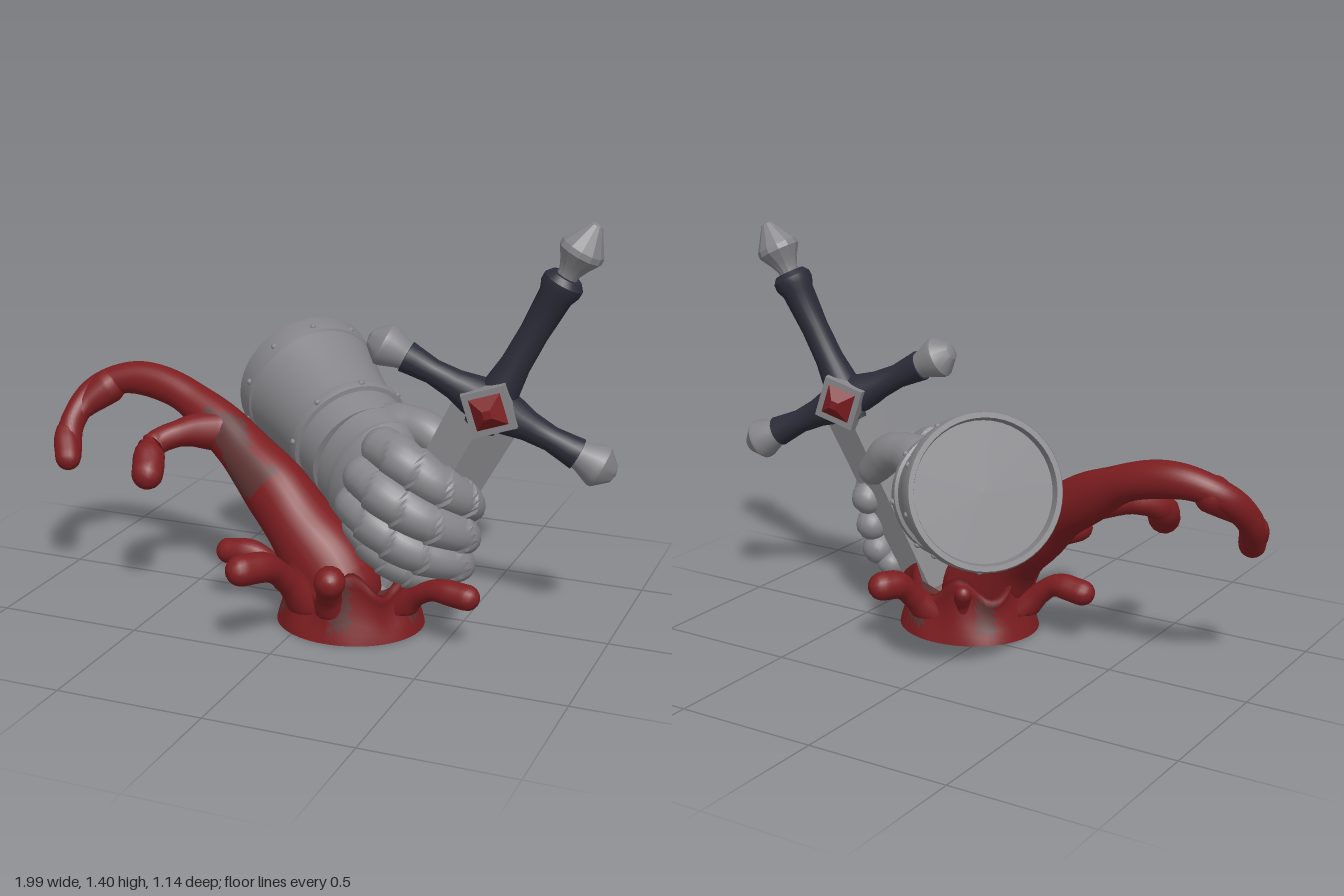
import * as THREE from 'three';
import { toCreasedNormals } from 'three/addons/utils/BufferGeometryUtils.js';

const mat = (name, color) => {
  const m = new THREE.MeshStandardMaterial({ color });
  m.name = name;
  return m;
};
const V = (a) => new THREE.Vector3(...a);

export function createModel() {
  const steel = mat('steel', 0x858589);
  const grip = mat('dark grip', 0x2b2c38);
  const red = mat('liquid red', 0x7c1d20);
  const murky = mat('murky red', 0x5e3433);

  const root = new THREE.Group();
  const add = (parent, name, geo, material) => {
    const m = new THREE.Mesh(geo, material);
    m.name = name;
    parent.add(m);
    return m;
  };
  const crease = (g, angle = 0.6) => toCreasedNormals(g, angle);
  const profile = (pts) => pts.map((p) => new THREE.Vector2(...p));
  const lathe = (pts, seg = 32, angle = 0.6) => crease(new THREE.LatheGeometry(profile(pts), seg), angle);

  // Round-ended tube with changing radii; size(t, a) gives [side, up]. Kept above minY.
  function sweep(points, size, { up = [0, 1, 0], rows = 32, sides = 16, minY = 0.08, patch } = {}) {
    const curve = new THREE.CatmullRomCurve3(points.map(V));
    const u = V(up), pos = [], body = [], spots = [], total = rows + 10;
    for (let i = 0; i <= total; i++) {
      const t = THREE.MathUtils.clamp((i - 5) / rows, 0, 1);
      const cap = (Math.max(0, i - 5 - rows) - Math.max(0, 5 - i)) / 5 * Math.PI / 2;
      const T = curve.getTangentAt(t);
      const S = u.clone().cross(T).normalize(), U = T.clone().cross(S);
      const c = curve.getPointAt(t).addScaledVector(T, Math.sin(cap) * Math.min(...size(t, 0)));
      const k = Math.max(Math.cos(cap), 0.001);
      for (let j = 0; j < sides; j++) {
        const a = j / sides * Math.PI * 2, [ru, rv] = size(t, a);
        const p = c.clone().addScaledVector(S, Math.cos(a) * ru * k).addScaledVector(U, Math.sin(a) * rv * k);
        pos.push(p.x, Math.max(p.y, minY), p.z);
        if (i < total) {
          const n = i * sides + j, m = i * sides + (j + 1) % sides;
          const list = patch && patch(t, a) ? spots : body;
          list.push(n, m, n + sides, m, m + sides, n + sides);
        }
      }
    }
    const g = new THREE.BufferGeometry();
    g.setAttribute('position', new THREE.Float32BufferAttribute(pos, 3));
    return grouped(g, body, spots);
  }
  // Two material groups: main faces, then murky faces
  function grouped(g, body, spots) {
    g.setIndex(body.concat(spots));
    g.clearGroups();
    g.addGroup(0, body.length, 0);
    g.addGroup(body.length, spots.length, 1);
    g.computeVertexNormals();
    return g;
  }
  // Linear blend along a list of radii
  const blend = (r) => (t) => {
    const x = t * (r.length - 1), i = Math.min(Math.floor(x), r.length - 2);
    return r[i] + (r[i + 1] - r[i]) * (x - i);
  };

  // ---- Sword: local y runs to the pommel, x along the guard ----
  const sword = new THREE.Group();
  sword.name = 'sword';
  const sy = V([0.457, 0.886, -0.06]).normalize();
  const sx = V([0.88, -0.44, -0.155]);
  sx.addScaledVector(sy, -sx.dot(sy)).normalize();
  sword.quaternion.setFromRotationMatrix(
    new THREE.Matrix4().makeBasis(sx, sy, sx.clone().cross(sy)));
  sword.position.set(0.588, 0.785, 0.033);
  root.add(sword);

  add(sword, 'gripHandle', lathe([[0, -0.08], [0.06, -0.08], [0.07, -0.02], [0.062, 0.07], [0.05, 0.16],
    [0.048, 0.28], [0.056, 0.42], [0.068, 0.45], [0.068, 0.475], [0.052, 0.495], [0, 0.495]], 24), grip);
  add(sword, 'pommel', lathe([[0.034, 0.48], [0.036, 0.51], [0.05, 0.54], [0.075, 0.58], [0.073, 0.6],
    [0.02, 0.685], [0, 0.69]], 12, 0.4), steel);
  for (const s of [-1, 1]) {
    const arm = new THREE.Group();
    arm.name = s > 0 ? 'leftGuardArm' : 'rightGuardArm';
    arm.rotation.z = -s * Math.PI / 2;
    sword.add(arm);
    add(arm, 'guardBar', lathe([[0.08, 0], [0.068, 0.07], [0.05, 0.14], [0.042, 0.22],
      [0.05, 0.29], [0.054, 0.32], [0, 0.33]], 20), grip);
    add(arm, 'guardKnob', lathe([[0.045, 0.31], [0.05, 0.335], [0.072, 0.39], [0.072, 0.405],
      [0.03, 0.452], [0, 0.46]], 20), steel);
    // Diamond setting and cut gem on each face
    const setting = add(sword, 'gemSetting', crease(new THREE.CylinderGeometry(0.105, 0.115, 0.08, 4), 0.3), steel);
    const gem = add(sword, 'gem', crease(new THREE.CylinderGeometry(0.02, 0.083, 0.04, 4), 0.3), red);
    setting.rotation.x = gem.rotation.x = s * Math.PI / 2;
    setting.position.z = s * 0.04;
    gem.position.z = s * 0.095;
  }
  const blade = add(sword, 'blade', crease(new THREE.CylinderGeometry(0.118, 0.1, 0.7, 4), 0.2), steel);
  blade.scale.z = 0.42;
  blade.position.y = -0.39;

  // ---- Gauntlet cuff: lathe axis runs from the open rim to the wrist ----
  const cuff = new THREE.Group();
  cuff.name = 'cuff';
  const axis = V([0.33, -0.14, 0.3]).normalize();
  cuff.quaternion.setFromUnitVectors(V([0, 1, 0]), axis);
  cuff.position.set(-0.25, 0.685, -0.38);
  root.add(cuff);
  add(cuff, 'cuffShell', lathe([[0, 0.03], [0.228, 0.03], [0.235, 0], [0.252, 0], [0.257, 0.012],
    [0.254, 0.085], [0.246, 0.09], [0.232, 0.16], [0.217, 0.25], [0.208, 0.33], [0.205, 0.37],
    [0.216, 0.375], [0.22, 0.395], [0.216, 0.415], [0.202, 0.42], [0.195, 0.52], [0, 0.53]], 48), steel);
  const rivet = new THREE.SphereGeometry(0.012, 8, 6);
  for (const [r, y, n] of [[0.252, 0.06, 10], [0.217, 0.395, 8]])
    for (let i = 0; i < n; i++) {
      const a = i / n * Math.PI * 2;
      add(cuff, 'rivet', rivet, steel).position.set(r * Math.cos(a), y, r * Math.sin(a));
    }

  // ---- Hand, with overlapping plates ----
  const lames = (n, depth) => (t) => 1 + depth * (1 - (t * n * 0.999) % 1);
  const handUp = [0.36, 0.92, 0.02];
  const hw = blend([0.19, 0.2, 0.21, 0.2, 0.17]), hd = blend([0.18, 0.17, 0.15, 0.125, 0.085]);
  const handLame = lames(4, 0.05);
  add(root, 'handBack', crease(sweep([[0.05, 0.55, -0.12], [0.14, 0.51, -0.02], [0.23, 0.465, 0.08], [0.32, 0.42, 0.12]],
    (t) => [hd(t) * handLame(t), hw(t) * handLame(t)], { up: handUp, sides: 32 })), steel);
  // Finger plates meet in a ridge along the outside, with chevron edges
  const fingers = [
    [[0.25, 0.62, 0.12], [0.34, 0.605, 0.18], [0.45, 0.54, 0.18], [0.525, 0.465, 0.1], [0.515, 0.42, 0.04]],
    [[0.2, 0.53, 0.16], [0.3, 0.495, 0.225], [0.42, 0.435, 0.225], [0.52, 0.365, 0.14], [0.505, 0.32, 0.05]],
    [[0.17, 0.43, 0.16], [0.26, 0.39, 0.215], [0.38, 0.33, 0.225], [0.505, 0.27, 0.15], [0.485, 0.23, 0.06]],
    [[0.17, 0.34, 0.12], [0.25, 0.29, 0.165], [0.34, 0.24, 0.17], [0.455, 0.2, 0.125], [0.435, 0.18, 0.07]],
  ];
  fingers.forEach((path, i) => {
    const r = blend([0.067, 0.07, 0.068, 0.062, 0.05]), lame = lames(5, 0.13);
    add(root, 'finger' + (i + 1), crease(sweep(path, (t, a) => {
      const off = Math.abs(a - Math.PI) / Math.PI;
      const k = r(t) * lame(t + 0.12 * off) * (1.08 - 0.1 * off) * (i === 3 ? 0.88 : 1);
      return [k, k];
    }, { rows: 60, sides: 20, up: handUp }), 0.7), steel);
  });
  const thumbR = blend([0.1, 0.09, 0.072, 0.068, 0.055]);
  add(root, 'thumb', sweep([[0.12, 0.59, -0.09], [0.24, 0.645, -0.06], [0.35, 0.64, -0.04], [0.44, 0.56, -0.025]],
    (t) => [thumbR(t), thumbR(t)]), steel);

  // ---- Splash crown with a wavy rim, murky inside and in patches on its wall ----
  const crown = new THREE.LatheGeometry(profile([[0.255, 0], [0.248, 0.03], [0.238, 0.06], [0.228, 0.1],
    [0.224, 0.14], [0.226, 0.17], [0.234, 0.2], [0.215, 0.21], [0.19, 0.15], [0.12, 0.11], [0, 0.1]]), 64);
  const cp = crown.attributes.position, clear = [], stained = [];
  const ci = crown.index.array;
  for (let f = 0; f < ci.length; f += 3) {
    const tri = [ci[f], ci[f + 1], ci[f + 2]];
    const x = cp.getX(tri[0]), y = cp.getY(tri[0]), z = cp.getZ(tri[0]);
    const inside = Math.hypot(x, z) < 0.2;
    const patch = y > 0.05 && y < 0.19 && Math.sin(5 * Math.atan2(z, x) + 0.9) > 0.7;
    (inside || patch ? stained : clear).push(...tri);
  }
  for (let i = 0; i < cp.count; i++) {
    const x = cp.getX(i), y = cp.getY(i), z = cp.getZ(i), a = Math.atan2(z, x);
    const bulge = 1 + 0.05 * Math.sin(9 * a) * y / 0.2;
    cp.setXYZ(i, x * bulge, y * (0.95 + 0.2 * Math.sin(6 * a + 0.6)), z * bulge * 0.92);
  }
  add(root, 'splashCrown', grouped(crown, clear, stained), [red, murky]).position.set(0.135, 0, 0.125);
  // Shallow hollow underside with the buried blade end showing as a lump
  const under = add(root, 'underside', new THREE.LatheGeometry(profile([[0, 0.05], [0.08, 0.048],
    [0.15, 0.04], [0.21, 0.02], [0.252, 0]]), 48), steel);
  under.scale.z = 0.92;
  under.position.set(0.135, 0.001, 0.125);
  const lump = add(root, 'buriedLump', new THREE.SphereGeometry(0.1, 20, 12), steel);
  lump.scale.set(1, 0.3, 0.6);
  lump.position.set(0.16, 0.05, 0.12);

  // Long curling wave, with murky patches on its front
  const waveR = blend([0.16, 0.145, 0.125, 0.11, 0.09, 0.072, 0.063, 0.057, 0.047, 0.05]);
  add(root, 'wave', sweep([[0.1, 0.13, 0.155], [-0.02, 0.28, 0.13], [-0.2, 0.445, 0.07], [-0.4, 0.585, 0.0],
    [-0.6, 0.69, -0.04], [-0.78, 0.715, -0.04], [-0.9, 0.67, 0.0], [-0.945, 0.57, 0.1], [-0.92, 0.47, 0.18]],
  (t) => [waveR(t) * 0.9, waveR(t) * (0.95 + 0.05 * Math.sin(t * 30))], {
    rows: 80, sides: 28,
    patch: (t, a) => t > 0.26 && t < 0.5 && Math.cos(a - 0.3 - Math.sin(t * 35) * 0.35) > 0.75,
  }), [red, murky]);

  // Side drip and crown tentacles, each ending in a droplet
  const drips = [
    ['waveDrip', 0.055, [[-0.4, 0.58, 0.02], [-0.5, 0.58, 0.08], [-0.585, 0.545, 0.17], [-0.56, 0.475, 0.265]]],
    ['waveTip', 0.045, [[-0.86, 0.68, -0.01], [-0.92, 0.62, 0.05], [-0.95, 0.55, 0.13], [-0.91, 0.47, 0.2]]],
    ['rightDrip', 0.045, [[-0.05, 0.05, 0.13], [-0.11, 0.12, 0.14], [-0.2, 0.195, 0.15], [-0.31, 0.19, 0.15]]],
    ['frontDrip', 0.052, [[0.05, 0.06, 0.25], [0.0, 0.19, 0.34], [-0.04, 0.27, 0.43], [-0.09, 0.285, 0.52]]],
    ['frontLeftDrip', 0.052, [[0.13, 0.06, 0.26], [0.14, 0.16, 0.33], [0.17, 0.24, 0.4], [0.19, 0.26, 0.45]]],
    ['leftDrip', 0.043, [[0.31, 0.05, 0.16], [0.38, 0.14, 0.19], [0.47, 0.19, 0.22], [0.585, 0.19, 0.24]]],
    ['backDrip', 0.05, [[0.18, 0.06, -0.03], [0.21, 0.14, -0.1], [0.24, 0.21, -0.17], [0.265, 0.22, -0.23]]],
    ['backSpike', 0.03, [[0.06, 0.06, -0.03], [0.05, 0.12, -0.05], [0.04, 0.17, -0.07], [0.03, 0.19, -0.08]]],
  ];
  for (const [name, r, path] of drips) {
    const rr = blend([r * 1.4, r * 1.15, r * 0.85, r * 0.8, r, r]);
    add(root, name, sweep(path, (t) => [rr(t), rr(t)],
      { rows: 24, sides: 14, up: [0.1, 0.7, -0.7] }), red);
  }
  return root;
}
